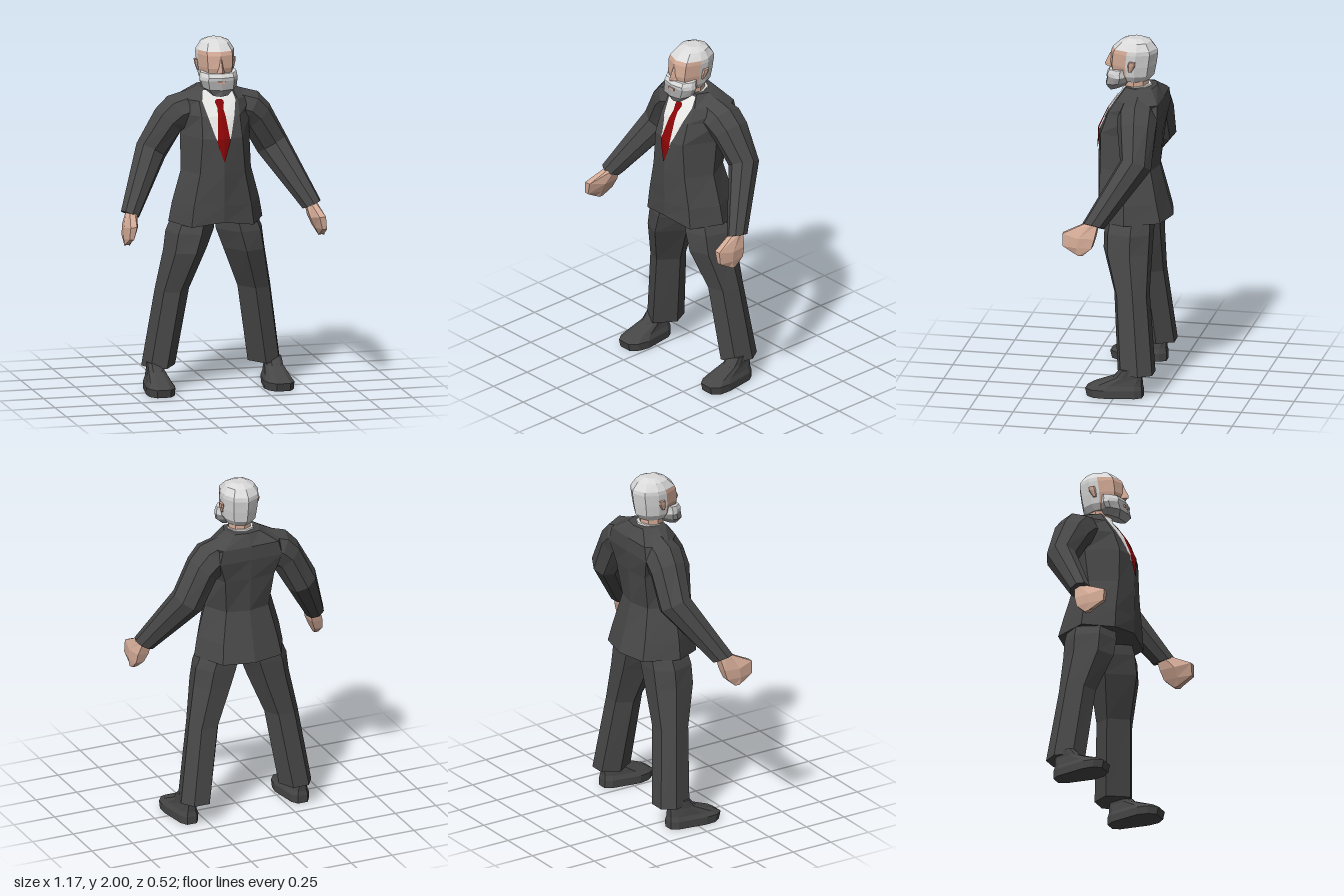
import * as THREE from 'three';

const paint = (name, color) => Object.assign(new THREE.MeshStandardMaterial({ color, flatShading: true }), { name });
const suit = paint('charcoal suit', 0x484848);
const shoeMat = paint('dark shoe', 0x464646);
const skin = paint('skin', 0xd3aa96);
const hair = paint('silver hair', 0xdadada);
const beardMat = paint('grey beard', 0x9c9c9c);
const shirtMat = paint('white shirt', 0xf2f2f0);
const tieMat = paint('red tie', 0x880507);
shirtMat.side = tieMat.side = THREE.DoubleSide;

// Skins rings (bottom to top, each front -> +x -> back -> -x) and caps both ends.
// pick(level, segment) chooses a material index.
function loft(name, rings, mats, pick = () => 0, mirror = false) {
  if (mirror) rings = rings.map(r => r.map(([x, y, z]) => [-x, y, z]).reverse());
  const list = [].concat(mats), bins = list.map(() => []);
  const n = rings[0].length, top = rings.length - 1;
  const tri = (m, ...p) => bins[m].push(...p.flat());
  for (let i = 0; i < top; i++) for (let j = 0; j < n; j++) {
    const k = (j + 1) % n, m = pick(i, j);
    const a = rings[i][j], b = rings[i][k], c = rings[i + 1][k], d = rings[i + 1][j];
    tri(m, a, b, c);
    tri(m, a, c, d);
  }
  const mid = r => [0, 1, 2].map(q => r.reduce((s, p) => s + p[q], 0) / n);
  const c0 = mid(rings[0]), c1 = mid(rings[top]);
  for (let j = 0; j < n; j++) {
    const k = (j + 1) % n;
    tri(pick(0, j), c0, rings[0][k], rings[0][j]);
    tri(pick(top - 1, j), c1, rings[top][j], rings[top][k]);
  }
  return meshFrom(name, bins, list);
}

function meshFrom(name, bins, mats) {
  const g = new THREE.BufferGeometry();
  g.setAttribute('position', new THREE.Float32BufferAttribute(bins.flat(), 3));
  let start = 0;
  bins.forEach((b, m) => { g.addGroup(start, b.length / 3, m); start += b.length / 3; });
  g.computeVertexNormals();
  const mesh = new THREE.Mesh(g, mats.length > 1 ? mats : mats[0]);
  mesh.name = name;
  return mesh;
}

// Tilted oval ring of eight points
function oval(cx, cy, cz, rx, rz, tilt = 0, slope = 0) {
  return Array.from({ length: 8 }, (_, i) => {
    const s = Math.sin(i * Math.PI / 4), c = Math.cos(i * Math.PI / 4);
    return [cx + rx * s * Math.cos(tilt), cy + rx * s * Math.sin(tilt) + rz * c * slope, cz + rz * c];
  });
}

// Completes a half outline (front centre to back centre) with its mirror image
const symmetric = half => half.concat(half.slice(1, -1).reverse().map(([x, y, z]) => [-x, y, z]));

// Head-shaped ring; front and back may sit at different heights
const headRing = (yf, yb, hw, zf, zb) => symmetric(
  [[0, 1], [0.68, 0.91], [0.98, 0.6], [1, 0.4], [0.7, 0.13], [0, 0]]
    .map(([x, f]) => [x * hw, yb + (yf - yb) * f, zb + (zf - zb) * f]));

// Jacket outline: y, then x, z (and optional rise) from front centre to back centre
const jacketRows = [
  [0.97, [0, 0.165, 0.015], [0.18, 0.135, -0.012], [0.272, -0.03], [0.18, -0.22], [0, -0.26]],
  [1.08, [0, 0.168], [0.165, 0.133], [0.252, -0.025], [0.165, -0.195], [0, -0.23]],
  [1.26, [0, 0.17], [0.13, 0.133], [0.203, -0.02], [0.13, -0.155], [0, -0.185]],
  [1.46, [0, 0.162], [0.115, 0.132], [0.2, -0.045], [0.15, -0.185], [0, -0.2]],
  [1.58, [0, 0.106], [0.11, 0.092], [0.22, -0.06], [0.19, -0.205], [0, -0.21]],
  [1.66, [0, 0.05], [0.112, 0.042], [0.24, -0.085], [0.17, -0.2], [0, -0.205]],
  [1.725, [0, 0.003], [0.078, -0.003], [0.105, -0.07], [0.075, -0.15], [0, -0.165]],
];

// Depth of the jacket front at x, y
function frontZ(x, y) {
  let i = 0;
  while (i < jacketRows.length - 2 && y > jacketRows[i + 1][0]) i++;
  const [a, b] = [jacketRows[i], jacketRows[i + 1]];
  const t = (y - a[0]) / (b[0] - a[0]), mix = (p, q) => p + (q - p) * t;
  const zc = mix(a[1][1], b[1][1]), xs = mix(a[2][0], b[2][0]), zs = mix(a[2][1], b[2][1]);
  return zc + (zs - zc) * Math.abs(x) / xs;
}

// Thin plate lying on the jacket front; rows are [y, half width]
function chestPlate(name, rows, lift, mat) {
  const out = [], pt = (x, y) => [x, y, frontZ(x, y) + lift];
  for (let i = 0; i < rows.length - 1; i++) {
    const [y0, w0] = rows[i], [y1, w1] = rows[i + 1];
    for (const [l, r] of [[-1, 0], [0, 1]]) {
      const a = pt(l * w0, y0), b = pt(r * w0, y0), c = pt(r * w1, y1), d = pt(l * w1, y1);
      out.push(...a, ...b, ...c, ...a, ...c, ...d);
    }
  }
  return meshFrom(name, [out], [mat]);
}

export function createModel() {
  const model = new THREE.Group();
  model.name = 'manInSuit';

  // Jacket, shirt front and tie
  model.add(loft('jacket', jacketRows.map(([y, ...p]) => symmetric(p.map(([x, z, up = 0]) => [x, y + up, z]))), suit));
  model.add(chestPlate('shirtFront', [[1.42, 0.03], [1.46, 0.04], [1.48, 0.048], [1.58, 0.076], [1.66, 0.096], [1.715, 0.082]],
    0.004, shirtMat));
  model.add(chestPlate('tie', [[1.335, 0.003], [1.44, 0.037], [1.46, 0.036], [1.58, 0.023], [1.62, 0.016],
    [1.65, 0.025], [1.66, 0.023], [1.668, 0.014]], 0.008, tieMat));

  // Neck and shirt collar
  model.add(loft('neck', [oval(0, 1.68, -0.05, 0.065, 0.07), oval(0, 1.79, -0.04, 0.065, 0.075)], skin));
  model.add(loft('shirtCollar', [oval(0, 1.69, -0.055, 0.085, 0.09, 0, -0.1), oval(0, 1.727, -0.055, 0.075, 0.08, 0, -0.1)], shirtMat));

  // Head: face panels in front, hair on top, sides and back
  const skull = [
    [1.755, 0.07, 0.06, -0.12], [1.79, 0.092, 0.09, -0.15], [1.85, 0.102, 0.102, -0.162],
    [1.92, 0.107, 0.095, -0.172], [1.942, 0.105, 0.084, -0.168], [1.982, 0.08, 0.04, -0.135], [2, 0.04, -0.005, -0.09],
  ].map(([y, hw, zf, zb]) => headRing(y, y, hw, zf, zb));
  model.add(loft('head', skull, [skin, hair], (i, j) => (i < 4 && [0, 1, 8, 9].includes(j) ? 0 : 1)));

  // Beard: grey jaw below a lighter band across cheeks and upper lip
  model.add(loft('beard', [
    headRing(1.69, 1.74, 0.06, 0.1, -0.02), headRing(1.73, 1.76, 0.1, 0.126, -0.025),
    headRing(1.78, 1.785, 0.108, 0.113, -0.03), headRing(1.798, 1.81, 0.106, 0.116, -0.03),
    headRing(1.82, 1.835, 0.103, 0.103, -0.03),
  ], [beardMat, hair], i => (i < 2 ? 0 : 1)));
  const lip = new THREE.Mesh(new THREE.BoxGeometry(0.045, 0.014, 0.008), skin);
  lip.name = 'lowerLip';
  lip.position.set(0, 1.773, 0.114);
  model.add(lip);
  model.add(loft('nose', [
    [[0, 1.825, 0.128], [0.022, 1.822, 0.092], [-0.022, 1.822, 0.092]],
    [[0, 1.838, 0.131], [0.018, 1.843, 0.092], [-0.018, 1.843, 0.092]],
    [[0, 1.9, 0.102], [0.008, 1.9, 0.09], [-0.008, 1.9, 0.09]],
  ], skin));

  for (const mirror of [false, true]) {
    const side = mirror ? 'right' : 'left';
    const add = (part, rings, mat) => model.add(loft(side + part, rings, mat, undefined, mirror));

    add('Ear', [oval(0.101, 1.825, -0.03, 0.007, 0.01), oval(0.107, 1.865, -0.042, 0.012, 0.022),
      oval(0.109, 1.885, -0.046, 0.012, 0.02)], skin);

    // Sleeve from cuff over the shoulder towards the neck
    add('Sleeve', [
      oval(0.525, 1.046, 0.09, 0.056, 0.062, 0.4, 0.2),
      oval(0.35, 1.36, -0.115, 0.094, 0.088, 0.5, 0.25),
      oval(0.255, 1.53, -0.1, 0.1, 0.108, 0.75),
      oval(0.2, 1.58, -0.092, 0.108, 0.115, 0.98),
      oval(0.11, 1.605, -0.085, 0.105, 0.1, 1.45),
    ], suit);

    // Hand: blocky palm pointing down and forward, narrowing to the fingers
    const slab = (y, x0, x1, z0, z1, tip = 0) => {
      const zm = (z0 + z1) / 2, w = x1 - x0;
      return [[x0 + w * 0.35, y + tip, z1], [x1 - w * 0.15, y + tip, z1], [x1 + 0.005, y, zm], [x1 - w * 0.1, y, z0], [x0, y, z0], [x0 - 0.003, y, zm]];
    };
    add('Hand', [
      slab(0.885, 0.548, 0.574, 0.14, 0.19, 0.01), slab(0.93, 0.526, 0.578, 0.09, 0.255, 0.005),
      slab(0.985, 0.502, 0.575, 0.075, 0.258, 0.02), slab(1.065, 0.488, 0.545, 0.06, 0.13),
    ], skin);

    // Trouser leg with a pressed front crease
    const legRing = (y, x, z, rx, rz) =>
      [[-0.2, 1], [0.7, 0.68], [1, -0.3], [0.5, -1], [-0.5, -1], [-1, -0.1]].map(([a, b]) => [x + a * rx, y, z + b * rz]);
    add('TrouserLeg', [
      legRing(0.13, 0.305, -0.105, 0.095, 0.105), legRing(0.57, 0.237, -0.065, 0.097, 0.098),
      legRing(0.8, 0.17, -0.027, 0.122, 0.136), legRing(0.91, 0.142, -0.027, 0.136, 0.138),
      legRing(0.99, 0.122, -0.032, 0.122, 0.13),
    ], suit);

    // Shoe
    const sole = [[0.045, 1], [0.078, 0.86], [0.082, 0.66], [0.055, 0.12], [0.03, 0],
      [-0.03, 0], [-0.055, 0.12], [-0.082, 0.66], [-0.07, 0.86], [-0.035, 1]];
    const shoeRing = (y, s, zf, zb) => sole.map(([x, f]) => [0.34 + x * s, y, zb + (zf - zb) * f]);
    add('Shoe', [shoeRing(0, 0.97, 0.155, -0.155), shoeRing(0.045, 1, 0.165, -0.155),
      shoeRing(0.07, 0.82, 0.125, -0.15), shoeRing(0.115, 0.62, 0.01, -0.15), shoeRing(0.16, 0.58, -0.03, -0.15)], shoeMat);
  }
  return model;
}
